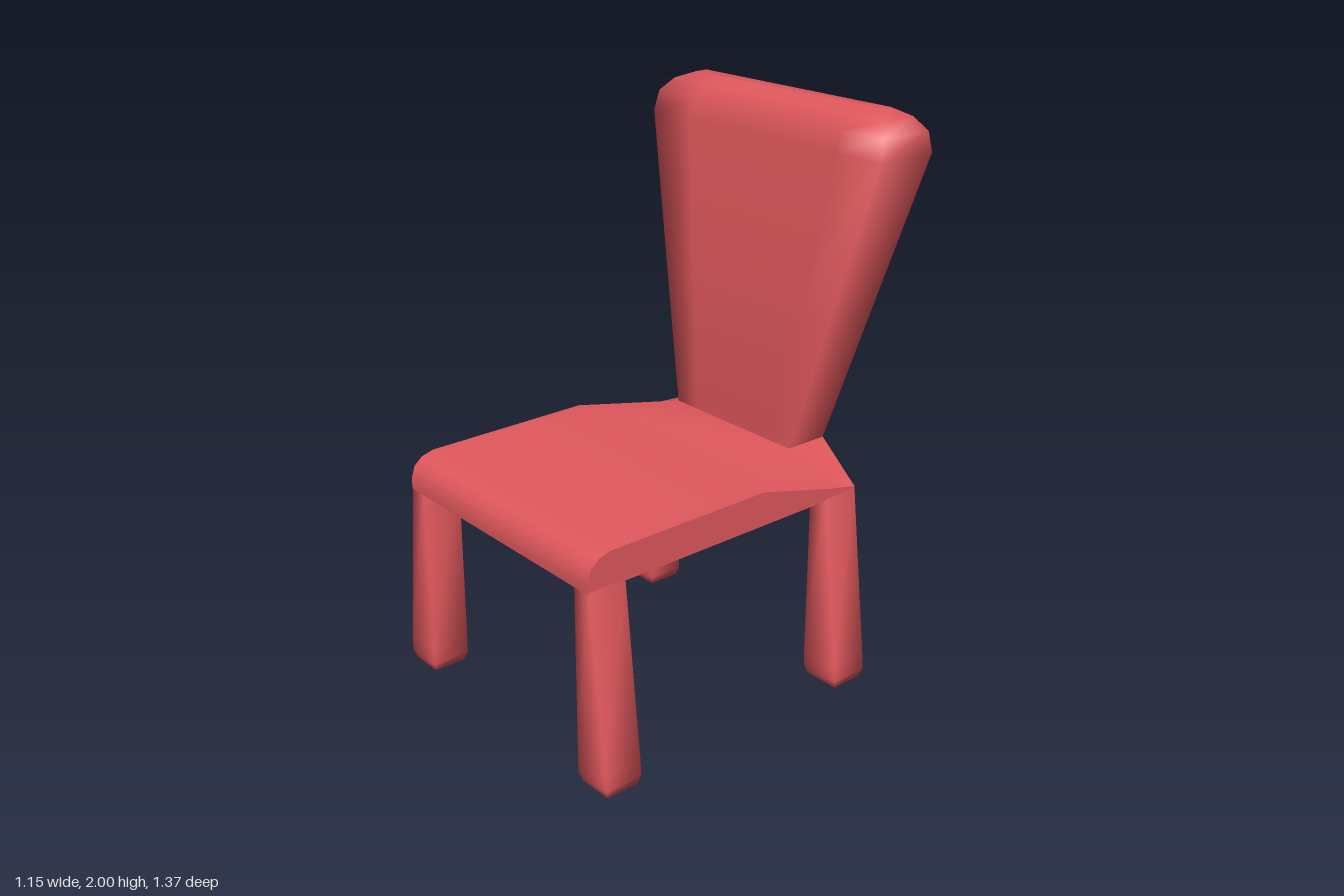
import * as THREE from 'three';
import { toCreasedNormals } from 'three/addons/utils/BufferGeometryUtils.js';

// Skins a list of equal rings, each counter-clockwise seen from the last ring's end.
function loft(rings) {
  const n = rings[0].length;
  const last = (rings.length - 1) * n;
  const index = [];
  for (let i = 0; i < rings.length - 1; i++) {
    for (let j = 0; j < n; j++) {
      const k = (j + 1) % n;
      const a = i * n + j, b = i * n + k;
      index.push(a, b, b + n, a, b + n, a + n);
    }
  }
  for (let j = 1; j < n - 1; j++) {
    index.push(0, j + 1, j);
    index.push(last, last + j, last + j + 1);
  }
  const geometry = new THREE.BufferGeometry();
  geometry.setAttribute('position', new THREE.Float32BufferAttribute(rings.flat(2), 3));
  geometry.setIndex(index);
  geometry.computeVertexNormals();
  return geometry;
}

export function createModel() {
  const chair = new THREE.Group();
  chair.name = 'chair';
  const red = new THREE.MeshStandardMaterial({ color: 0xe0585c });

  const add = (name, geometry) => {
    const mesh = new THREE.Mesh(geometry, red);
    mesh.name = name;
    chair.add(mesh);
  };

  // Seat: back to front; [z bottom, z top, half width of flat top, top y, side edge y]
  const seatRings = [
    [-0.46, -0.505, 0.29, 0.835, 0.73],
    [-0.34, -0.34, 0.29, 0.835, 0.755],
    [-0.03, -0.03, 0.45, 0.835, 0.835],
    [0.6, 0.6, 0.45, 0.835, 0.835],
    [0.645, 0.645, 0.45, 0.822, 0.822],
    [0.675, 0.675, 0.45, 0.795, 0.795],
    [0.688, 0.688, 0.45, 0.755, 0.755],
  ].map(([zb, zt, t, yt, ye]) => [
    [-0.49, 0.715, zb], [0.49, 0.715, zb], [0.49, ye, zb],
    [t, yt, zt], [-t, yt, zt], [-0.49, ye, zb],
  ]);
  add('seat', toCreasedNormals(loft(seatRings), 1.0));

  // Backrest: flares upward, leans back, rounded top; [y, half width, front z, back z]
  const backRings = [
    [0.74, 0.27, -0.345, -0.455],
    [0.835, 0.29, -0.34, -0.505],
    [1.3, 0.407, -0.385, -0.585],
    [1.86, 0.548, -0.44, -0.682],
    [1.93, 0.54, -0.458, -0.668],
    [1.975, 0.5, -0.495, -0.635],
    [2.0, 0.44, -0.545, -0.595],
  ].map(([y, w, f, b]) => {
    const v = w * 0.65;
    return [[w, y, f], [w, y, b], [v, y, b], [-v, y, b], [-w, y, b], [-w, y, f], [-v, y, f], [v, y, f]];
  });
  add('backrest', toCreasedNormals(loft(backRings), 1.7));

  // Legs: upright inside, splayed outside, with a rounded foot
  for (const side of [1, -1]) {
    for (const [name, z, outer] of [['FrontLeg', 0.615, 0.563], ['RearLeg', -0.39, 0.573]]) {
      const rings = [
        [0, 0.455, outer - 0.035, 0.04],
        [0.018, 0.43, outer - 0.01, 0.06],
        [0.05, 0.42, outer, 0.07],
        [0.1, 0.42, outer - 0.005, 0.071],
        [0.73, 0.42, 0.489, 0.071],
      ].map(([y, a, b, d]) => {
        const lo = Math.min(side * a, side * b), hi = Math.max(side * a, side * b);
        return [[hi, y, z + d], [hi, y, z - d], [lo, y, z - d], [lo, y, z + d]];
      });
      add((side > 0 ? 'left' : 'right') + name, loft(rings));
    }
  }
  return chair;
}
